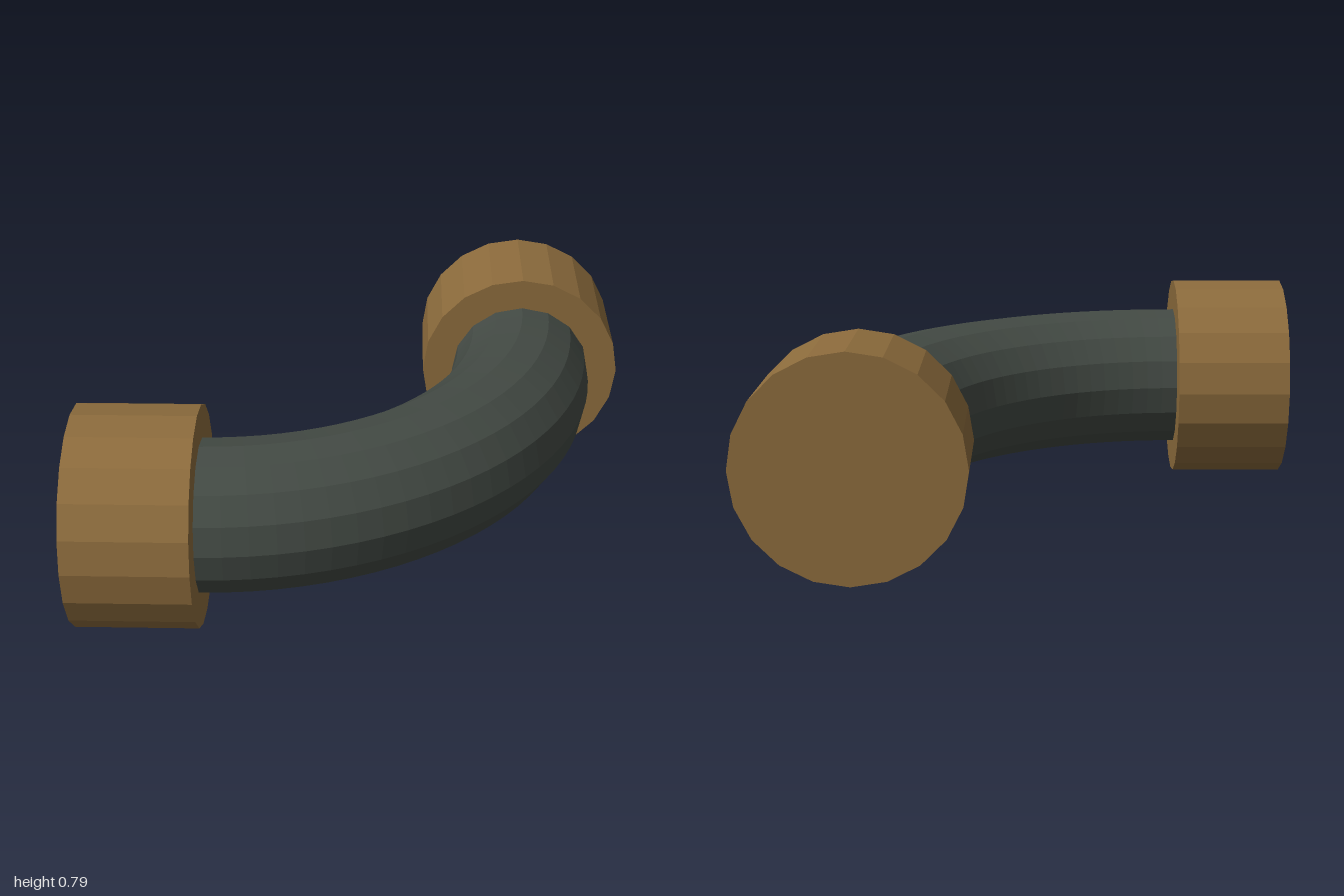
import * as THREE from 'three';

export function createModel() {
  const group = new THREE.Group();
  group.name = 'pipeElbow';

  const darkIron = new THREE.MeshStandardMaterial({ color: 0x434a44, flatShading: true });
  darkIron.name = 'dark iron';
  const brass = new THREE.MeshStandardMaterial({ color: 0x8c6b3c, flatShading: true });
  brass.name = 'dull brass';

  const bend = 1.172, tube = 0.275, collarRadius = 0.394, collarLength = 0.434;
  const start = 1 - collarLength; // distance from the centre to a collar's inner face
  const axis = bend - start;      // offset of each collar's axis

  // Quarter-turn pipe, lying flat
  const pipe = new THREE.Mesh(
    new THREE.TorusGeometry(bend, tube, 16, 24, Math.PI / 2).rotateX(Math.PI / 2), darkIron);
  pipe.name = 'bentPipe';
  pipe.position.set(-start, collarRadius, -start);
  group.add(pipe);

  // Solid collar on each end of the pipe
  const collar = new THREE.CylinderGeometry(collarRadius, collarRadius, collarLength, 20);
  const mid = -(start + collarLength / 2);

  const backCollar = new THREE.Mesh(collar, brass);
  backCollar.name = 'backCollar';
  backCollar.rotation.x = Math.PI / 2;
  backCollar.position.set(axis, collarRadius, mid);

  const rightCollar = new THREE.Mesh(collar, brass);
  rightCollar.name = 'rightCollar';
  rightCollar.rotation.z = Math.PI / 2;
  rightCollar.position.set(mid, collarRadius, axis);

  group.add(backCollar, rightCollar);
  return group;
}
